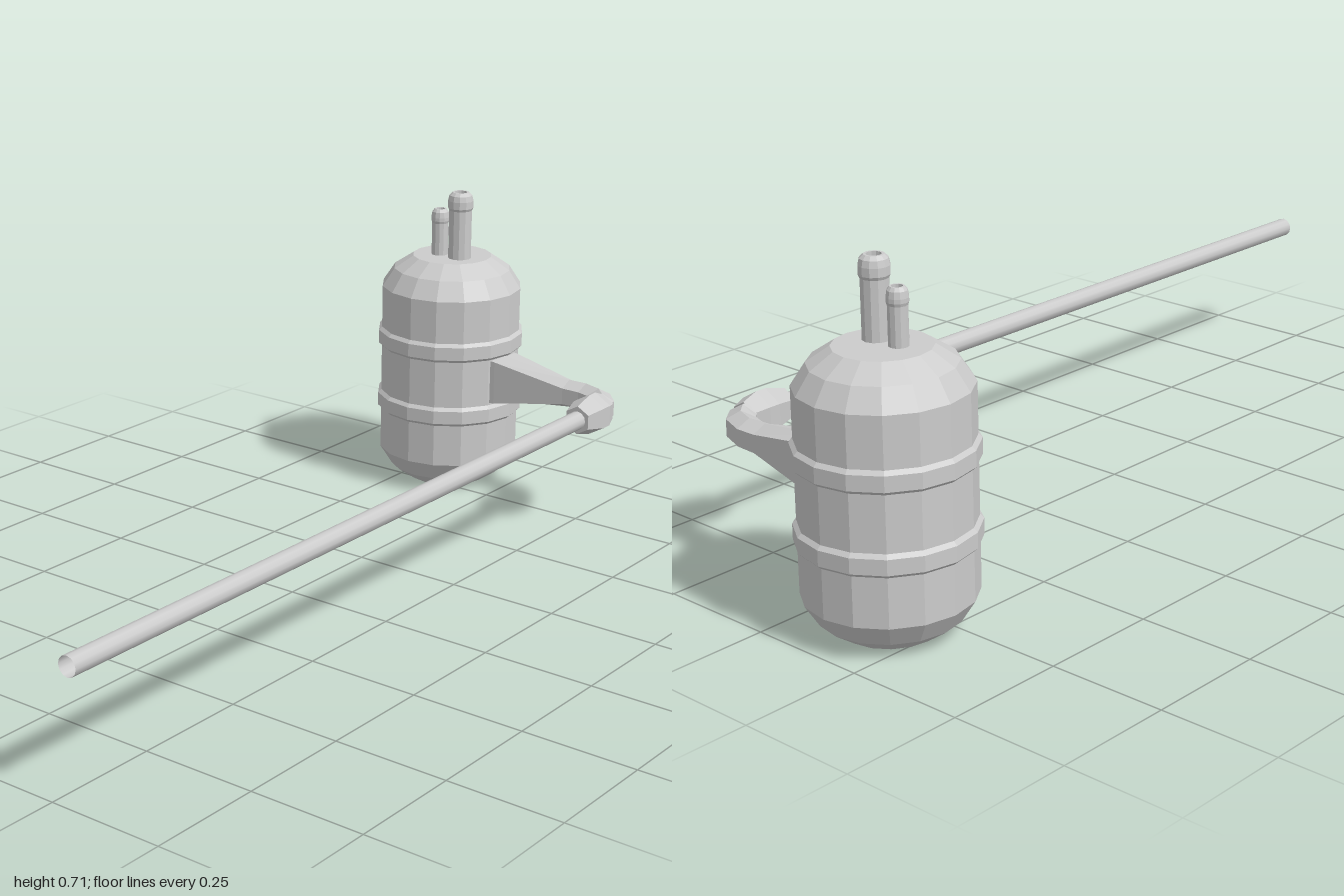
import * as THREE from 'three';

const grey = new THREE.MeshStandardMaterial({ color: 0xcccccc, flatShading: true });
const greySmooth = new THREE.MeshStandardMaterial({ color: 0xcccccc, side: THREE.DoubleSide });

// Turned part: profile is [radius, height] from bottom to top
function lathe(name, profile, sides) {
  const points = profile.map(([r, y]) => new THREE.Vector2(r, y));
  const mesh = new THREE.Mesh(new THREE.LatheGeometry(points, sides), grey);
  mesh.name = name;
  return mesh;
}

// Six-sided bar swept through stations: [x, z, heading, half height, shoulder height, half width]
function hexSweep(stations, centreY) {
  const positions = [];
  const index = [];
  for (const [x, z, heading, top, shoulder, width] of stations) {
    const section = [[0, top], [width, shoulder], [width, -shoulder], [0, -top], [-width, -shoulder], [-width, shoulder]];
    for (const [across, up] of section) {
      positions.push(x - Math.sin(heading) * across, centreY + up, z + Math.cos(heading) * across);
    }
  }
  for (let s = 0; s < stations.length - 1; s++) {
    for (let i = 0; i < 6; i++) {
      const a = s * 6 + i;
      const b = s * 6 + (i + 1) % 6;
      index.push(a, b, a + 6, b, b + 6, a + 6);
    }
  }
  const geometry = new THREE.BufferGeometry();
  geometry.setAttribute('position', new THREE.Float32BufferAttribute(positions, 3));
  geometry.setIndex(index);
  geometry.computeVertexNormals();
  return geometry;
}

// Hollow spout with a rounded bead at its mouth
function spout(name, x, r, bead, beadY, topY) {
  const mouth = r * 0.72;
  const mesh = lathe(name, [
    [r, 0.54], [r, beadY - 0.006], [bead, beadY], [bead, topY - 0.02],
    [bead * 0.9, topY - 0.007], [mouth, topY],
    [mouth * 0.75, topY], [mouth * 0.75, topY - 0.04], [0, topY - 0.04],
  ], 12);
  mesh.position.set(x, 0, -0.811);
  return mesh;
}

export function createModel() {
  const model = new THREE.Group();

  // Tank with stepped shoulders
  const tank = new THREE.Group();
  tank.name = 'tank';
  tank.position.set(-0.1665, 0, -0.8255);
  tank.add(lathe('tankBody', [
    [0, 0], [0.094, 0], [0.139, 0.031], [0.167, 0.075],
    [0.167, 0.48], [0.139, 0.523], [0.094, 0.553], [0, 0.553],
  ], 16));

  // Two raised bands
  for (const [name, y] of [['lowerBand', 0.173], ['upperBand', 0.331]]) {
    tank.add(lathe(name, [[0.165, y], [0.1745, y + 0.009], [0.1745, y + 0.04], [0.165, y + 0.05]], 16));
  }
  model.add(tank);

  // Spouts on top
  model.add(spout('largeSpout', -0.136, 0.027, 0.03, 0.675, 0.712));
  model.add(spout('smallSpout', -0.193, 0.0195, 0.0215, 0.636, 0.664));

  // Tapered arm bending towards the front
  const arm = new THREE.Mesh(hexSweep([
    [-0.03, -0.815, 0, 0.057, 0.054, 0.048],
    [0, -0.815, 0, 0.055, 0.051, 0.047],
    [0.18, -0.813, 0, 0.033, 0.019, 0.03],
    [0.225, -0.813, 0.1, 0.033, 0.018, 0.029],
    [0.268, -0.798, 0.65, 0.033, 0.018, 0.029],
    [0.292, -0.772, 1.2, 0.033, 0.017, 0.029],
    [0.298, -0.74, Math.PI / 2, 0.033, 0.017, 0.029],
  ], 0.278), grey);
  arm.name = 'arm';
  model.add(arm);

  // Hexagonal coupling nut
  const nut = lathe('couplingNut', [
    [0, -0.765], [0.034, -0.765], [0.047, -0.732], [0.047, -0.708], [0.033, -0.658], [0, -0.658],
  ], 6);
  nut.rotation.x = Math.PI / 2;
  nut.position.set(0.298, 0.278, 0);
  model.add(nut);

  // Long open pipe
  const pipe = new THREE.Mesh(new THREE.CylinderGeometry(0.021, 0.021, 1.67, 12, 1, true), greySmooth);
  pipe.name = 'pipe';
  pipe.rotation.x = Math.PI / 2;
  pipe.position.set(0.298, 0.278, 0.165);
  model.add(pipe);

  return model;
}
